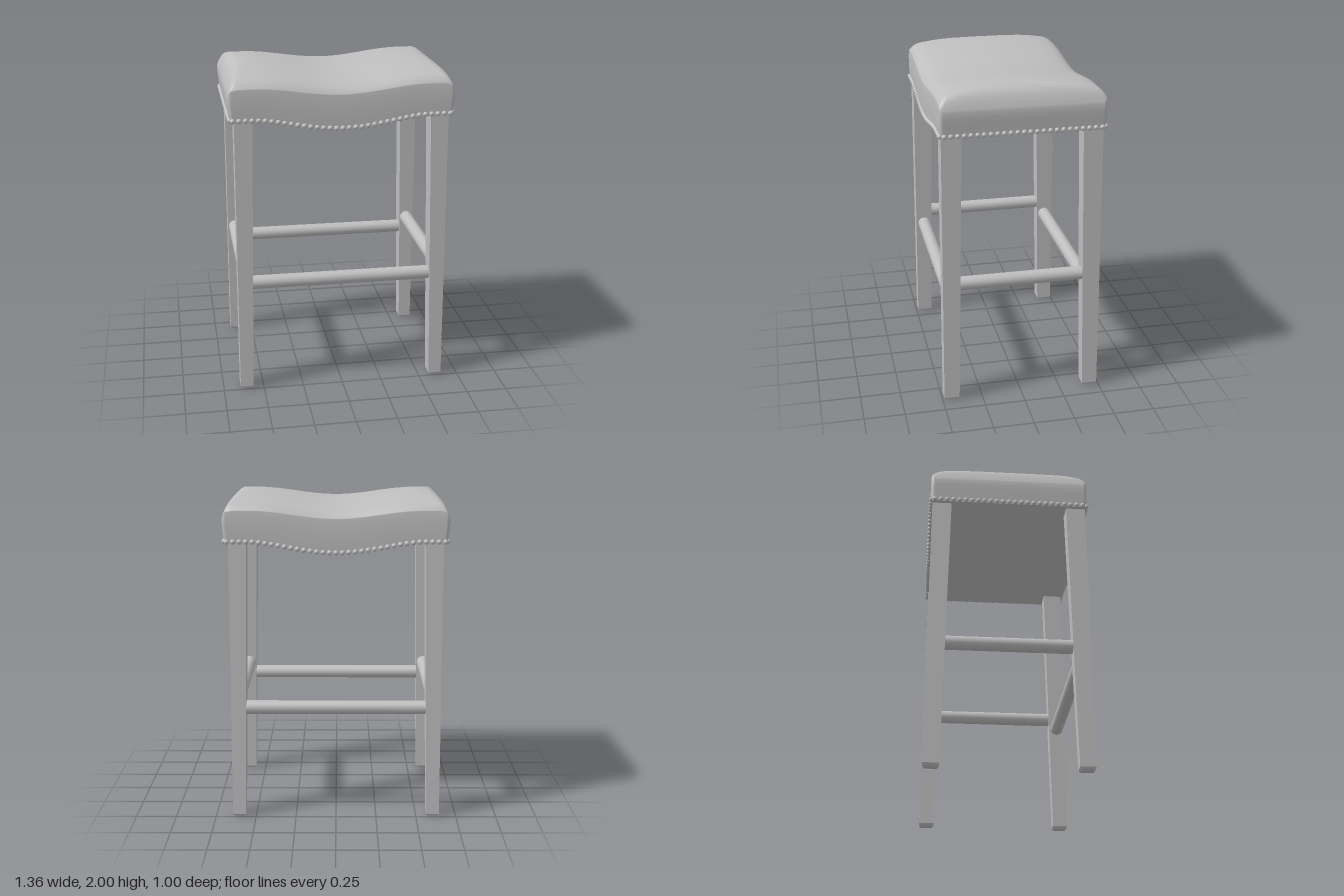
import * as THREE from 'three';

const HX = 0.675, HZ = 0.487;

// Saddle-shaped top, softly dropping at the ends and crowned front to back
function topY(x, z) {
  const ax = Math.abs(x), w = Math.abs(z) / HZ;
  const saddle = 1.952 + 0.048 * Math.sin(Math.PI / 2 * Math.min(ax / 0.52, 1)) ** 2;
  const end = 0.13 * Math.max(0, (ax - 0.48) / 0.195) ** 5;
  const crown = 0.045 * w ** 2 + 0.045 * w ** 16;
  return saddle - (end ** 4 + crown ** 4) ** 0.25;
}

// Lower edge: level over the legs, sagging in the middle
function bottomY(x) {
  const k = Math.min(Math.abs(x) / 0.52, 1);
  return 1.715 - 0.065 * Math.cos(Math.PI / 2 * k) ** 1.6;
}

// Rounded rectangle outline in the xz plane
function outline(hx, hz, r) {
  const pts = [], corners = [[1, 1], [-1, 1], [-1, -1], [1, -1]];
  corners.forEach(([sx, sz], q) => {
    for (let i = 0; i <= 5; i++) {
      const a = (q + i / 5) * Math.PI / 2;
      pts.push([sx * (hx - r) + r * Math.cos(a), sz * (hz - r) + r * Math.sin(a)]);
    }
    const [ex, ez] = pts[pts.length - 1];
    const [nx, nz] = corners[(q + 1) % 4];
    const a = (q + 1) * Math.PI / 2;
    const tx = nx * (hx - r) + r * Math.cos(a), tz = nz * (hz - r) + r * Math.sin(a);
    for (let i = 1; i < 32; i++) pts.push([ex + (tx - ex) * i / 32, ez + (tz - ez) * i / 32]);
  });
  return pts;
}

// Smooth skin across a list of equal-length rings
function skin(rings) {
  const n = rings[0].length, index = [];
  for (let k = 0; k < rings.length - 1; k++) {
    for (let i = 0; i < n; i++) {
      const a = k * n + i, b = k * n + (i + 1) % n, c = b + n, d = a + n;
      index.push(a, d, c, a, c, b);
    }
  }
  const g = new THREE.BufferGeometry();
  g.setAttribute('position', new THREE.Float32BufferAttribute(rings.flat(2), 3));
  g.setIndex(index);
  g.computeVertexNormals();
  return g;
}

// Square leg with a tapered inner side and a chamfered foot
function legGeometry(sx, sz) {
  const g = new THREE.BoxGeometry(1, 1, 1, 1, 2, 1).toNonIndexed();
  const p = g.attributes.position;
  for (let i = 0; i < p.count; i++) {
    const level = Math.round((p.getY(i) + 0.5) * 2);
    const y = [0, 0.014, 1.73][level], t = y / 1.73, c = level === 0 ? 0.01 : 0;
    const outX = p.getX(i) * sx > 0, outZ = p.getZ(i) * sz > 0;
    const x = outX ? 0.645 - 0.005 * t - c : 0.565 - 0.033 * t + c;
    const z = outZ ? 0.49 - 0.012 * t - c : 0.395 - 0.037 * t + c;
    p.setXYZ(i, sx * x, y, sz * z);
  }
  g.computeVertexNormals();
  return g;
}

export function createModel() {
  const model = new THREE.Group();
  const grey = new THREE.MeshStandardMaterial({ color: 0xbebebe });
  grey.name = 'plain grey';
  const add = (name, geometry, parent = model) => {
    const m = new THREE.Mesh(geometry, grey);
    m.name = name;
    parent.add(m);
    return m;
  };

  // Cushion: side wall, then rings closing over the top
  const rings = [[0.663, 0.485, 0], [0.667, 0.488, 0.25], [0.672, 0.49, 0.55], [0.675, 0.489, 0.8]]
    .map(([hx, hz, t]) => outline(hx, hz, 0.022).map(([x, z]) => {
      const b = bottomY(x);
      return [x, b + (topY(x, z) - b) * t, z];
    }));
  for (const s of [1, 0.994, 0.985, 0.97, 0.95, 0.925, 0.89, 0.84, 0.77, 0.68, 0.56, 0.42, 0.28, 0.14, 0]) {
    rings.push(outline(HX * s, HZ * s, 0.022 * s).map(([x, z]) => [x, topY(x, z), z]));
  }
  add('cushion', skin(rings));

  // Underside
  const under = [0, 0.2, 0.4, 0.6, 0.8, 1].map((s) =>
    outline(0.663 * s, 0.485 * s, 0.022 * s).map(([x, z]) => [x, bottomY(x), z]));
  add('seatUnderside', skin(under));

  // Nail heads along all four lower edges
  const nails = new THREE.Group();
  nails.name = 'nailTrim';
  model.add(nails);
  const nail = new THREE.SphereGeometry(0.0155, 10, 8);
  const put = (x, z) => add('nailHead', nail, nails).position.set(x, bottomY(x) + 0.014, z);
  for (const s of [-1, 1]) {
    for (let i = 0; i < 35; i++) put(-0.648 + 1.296 * i / 34, s * 0.486);
    for (let i = 0; i < 25; i++) put(s * 0.663, -0.462 + 0.924 * i / 24);
  }

  // Legs
  for (const sx of [-1, 1]) {
    for (const sz of [-1, 1]) {
      add((sz > 0 ? 'front' : 'back') + (sx > 0 ? 'Left' : 'Right') + 'Leg', legGeometry(sx, sz));
    }
  }

  // Round stretchers, the side pair set higher
  for (const s of [-1, 1]) {
    const long = add(s > 0 ? 'frontStretcher' : 'backStretcher', new THREE.CylinderGeometry(0.042, 0.042, 1.13, 24));
    long.rotation.z = Math.PI / 2;
    long.position.set(0, 0.695, s * 0.43);
    const side = add(s > 0 ? 'leftStretcher' : 'rightStretcher', new THREE.CylinderGeometry(0.042, 0.042, 0.8, 24));
    side.rotation.x = Math.PI / 2;
    side.position.set(s * 0.595, 0.775, 0);
  }
  return model;
}
